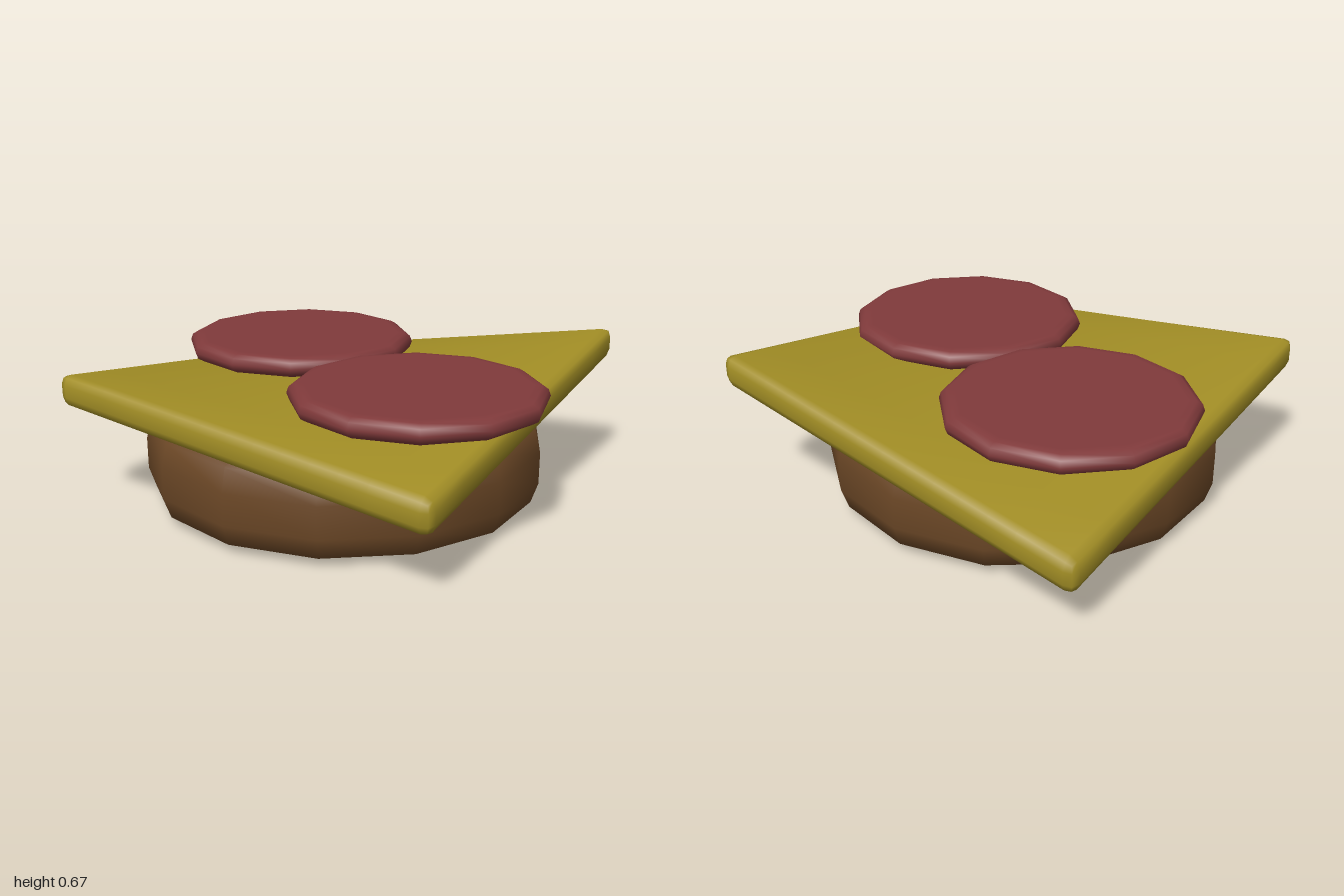
import * as THREE from 'three';
import { mergeVertices } from 'three/addons/utils/BufferGeometryUtils.js';

const bread = new THREE.MeshStandardMaterial({ color: 0x6b4726 });
bread.name = 'breadBrown';
const cheese = new THREE.MeshStandardMaterial({ color: 0xa18d25 });
cheese.name = 'cheeseYellow';
const salami = new THREE.MeshStandardMaterial({ color: 0x803a3b });
salami.name = 'salamiRed';

// Closed disc turned from [radius, height] points, bottom to top
function disc(name, profile, sides, material, x, y, z) {
  const points = profile.map(([r, h]) => new THREE.Vector2(r, h));
  const mesh = new THREE.Mesh(new THREE.LatheGeometry(points, sides), material);
  mesh.name = name;
  mesh.position.set(x, y, z);
  return mesh;
}

// Square slice with rounded edges, bent so opposite corners rise and droop
function cheeseGeometry(size, thick, r, corners) {
  const n = 14, half = size / 2, h = thick / 2;
  let g = new THREE.BoxGeometry(size, thick, size, n, 3, n);
  g.deleteAttribute('uv');
  g.deleteAttribute('normal');
  g = mergeVertices(g, 1e-4);
  const pos = g.attributes.position;
  const p = new THREE.Vector3(), core = new THREE.Vector3();
  // moves the first ring inside each edge to the start of the rounding
  const ring = (v, m, step) => {
    const a = Math.abs(v);
    return Math.abs(a - (m - step)) < 1e-4 ? Math.sign(v) * (m - r) : v;
  };
  for (let i = 0; i < pos.count; i++) {
    p.fromBufferAttribute(pos, i);
    p.set(ring(p.x, half, size / n), ring(p.y, h, thick / 3), ring(p.z, half, size / n));
    core.set(
      THREE.MathUtils.clamp(p.x, r - half, half - r),
      THREE.MathUtils.clamp(p.y, r - h, h - r),
      THREE.MathUtils.clamp(p.z, r - half, half - r)
    );
    p.sub(core).setLength(r).add(core);
    const u = p.x / size + 0.5, v = p.z / size + 0.5;
    const back = THREE.MathUtils.lerp(corners.backLow, corners.backHigh, u);
    const front = THREE.MathUtils.lerp(corners.frontHigh, corners.frontLow, u);
    pos.setXYZ(i, p.x, p.y + THREE.MathUtils.lerp(back, front, v), p.z);
  }
  g.computeVertexNormals();
  return g;
}

export function createModel() {
  const group = new THREE.Group();
  group.name = 'openSandwich';

  // Bread base
  group.add(disc('breadBase', [
    [0, 0], [0.74, 0], [0.785, 0.005], [0.86, 0.04], [0.89, 0.13], [0.89, 0.27],
    [0.865, 0.37], [0.8, 0.403], [0.75, 0.407], [0, 0.407]
  ], 14, bread, -0.025, 0, 0.025));

  // Bent cheese slice
  const slice = new THREE.Mesh(
    cheeseGeometry(1.805, 0.145, 0.045, {
      backLow: 0.27, backHigh: 0.615, frontHigh: 0.54, frontLow: 0.34
    }), cheese);
  slice.name = 'cheeseSlice';
  slice.position.set(-0.027, 0, -0.02);
  group.add(slice);

  // Two salami slices
  const salamiProfile = [
    [0, 0], [0.47, 0], [0.505, 0.003], [0.53, 0.018], [0.54, 0.045],
    [0.53, 0.072], [0.505, 0.087], [0.47, 0.09], [0, 0.09]
  ];
  for (const [name, x, z] of [['salamiBack', -0.46, -0.255], ['salamiFront', 0.46, 0.228]]) {
    group.add(disc(name, salamiProfile, 12, salami, x, 0.532, z));
  }
  return group;
}
